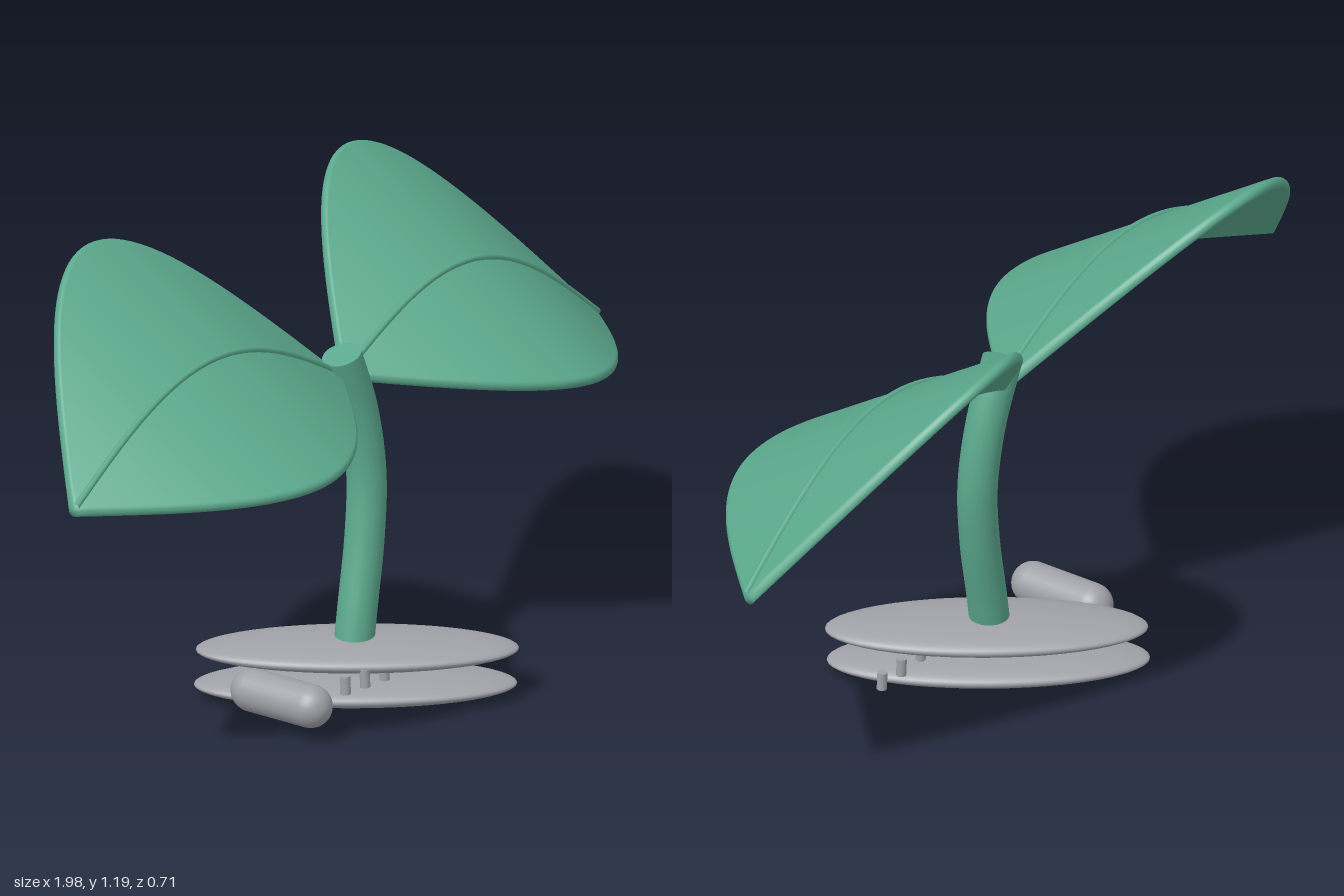
import * as THREE from 'three';

const green = new THREE.MeshStandardMaterial({ color: 0x5ba88d });
green.name = 'leaf green';
const grey = new THREE.MeshStandardMaterial({ color: 0xa0a2a8 });
grey.name = 'stone grey';

const V = (x, y, z) => new THREE.Vector3(x, y, z);
const TILT = 0.56; // leaves lean forward
const across = V(0, Math.sin(TILT), -Math.cos(TILT));
const up = V(0, Math.cos(TILT), Math.sin(TILT));
const THICK = 0.014;

function add(parent, name, geometry, material, x = 0, y = 0, z = 0) {
  const mesh = new THREE.Mesh(geometry, material);
  mesh.name = name;
  mesh.position.set(x, y, z);
  parent.add(mesh);
  return mesh;
}

// Arched blade: rounded flat cross-sections swept along the midline
function bladeGeometry(midline, halfWidth) {
  const steps = 48, arc = 8;
  const section = [];
  for (const side of [1, -1]) {
    for (let k = 0; k <= arc; k++) {
      const a = (k / arc - 0.5) * Math.PI + (side < 0 ? Math.PI : 0);
      section.push([side, Math.cos(a) * THICK, Math.sin(a) * THICK]);
    }
  }
  const n = section.length, pos = [], index = [];
  for (let i = -1; i <= steps + 1; i++) {
    const t = THREE.MathUtils.clamp(i / steps, 0, 1);
    const scale = i < 0 || i > steps ? 0 : 1; // closes the tips
    const c = midline(t), w = halfWidth * Math.sin(Math.PI * t);
    for (const [side, u, v] of section) {
      const p = c.clone()
        .addScaledVector(across, (side * w + u) * scale)
        .addScaledVector(up, v * scale);
      pos.push(p.x, p.y, p.z);
    }
  }
  for (let i = 0; i < steps + 2; i++) {
    for (let j = 0; j < n; j++) {
      const a = i * n + j, b = i * n + (j + 1) % n;
      index.push(a, b, a + n, b, b + n, a + n);
    }
  }
  const g = new THREE.BufferGeometry();
  g.setAttribute('position', new THREE.Float32BufferAttribute(pos, 3));
  g.setIndex(index);
  g.computeVertexNormals();
  return g;
}

function makeLeaf(name, start, end, rise) {
  const leaf = new THREE.Group();
  leaf.name = name;
  const midline = (t) => {
    const p = start.clone().lerp(end, t);
    p.y += rise * Math.sin(Math.PI * t);
    return p;
  };
  add(leaf, 'leafBlade', bladeGeometry(midline, 0.395), green);

  // Raised vein along the upper face
  const points = [];
  for (let i = 0; i <= 16; i++) points.push(midline(i / 16).addScaledVector(up, THICK + 0.001));
  const curve = new THREE.CatmullRomCurve3(points);
  add(leaf, 'leafVein', new THREE.TubeGeometry(curve, 48, 0.008, 8), green);
  return leaf;
}

export function createModel() {
  const model = new THREE.Group();
  model.name = 'seedling';

  // Curved stem with a flat top
  const path = new THREE.CatmullRomCurve3([
    V(0.0, 0.1, 0.046), V(0.02, 0.2, 0.042), V(0.06, 0.38, 0.034),
    V(0.077, 0.53, 0.026), V(0.058, 0.69, 0.016), V(0.01, 0.838, 0.006),
  ]);
  add(model, 'stem', new THREE.TubeGeometry(path, 40, 0.047, 24), green);
  const top = path.getPoint(1);
  const cap = add(model, 'stemTop', new THREE.CircleGeometry(0.047, 24), green, top.x, top.y, top.z);
  cap.quaternion.setFromUnitVectors(V(0, 0, 1), path.getTangent(1));

  // Pair of leaves
  model.add(makeLeaf('rightLeaf', V(-0.99, 0.757, -0.006), V(0.01, 0.778, -0.006), 0.195));
  model.add(makeLeaf('leftLeaf', V(0.035, 0.778, -0.006), V(0.985, 0.63, -0.006), 0.203));

  // Two flat oval stones
  for (const [name, x, y] of [['upperStone', 0.012, 0.119], ['lowerStone', 0.005, 0.035]]) {
    const stone = add(model, name, new THREE.SphereGeometry(1, 48, 32), grey, x, y, 0.05);
    stone.scale.set(0.134, 0.034, 0.374);
    stone.rotation.y = 0.67;
  }

  // Rounded bar beside the stones
  const bar = add(model, 'sideBar', new THREE.CapsuleGeometry(0.051, 0.17, 12, 24), grey, -0.275, 0.085, 0.05);
  bar.rotation.x = Math.PI / 2;

  // Row of small pegs
  for (let i = 0; i < 7; i++) {
    const peg = add(model, 'peg', new THREE.CylinderGeometry(0.012, 0.012, 0.044, 16), grey,
      -0.15 + i * 0.0735, 0.1 - i * 0.005, 0.14);
    peg.rotation.x = -0.05;
  }
  return model;
}
